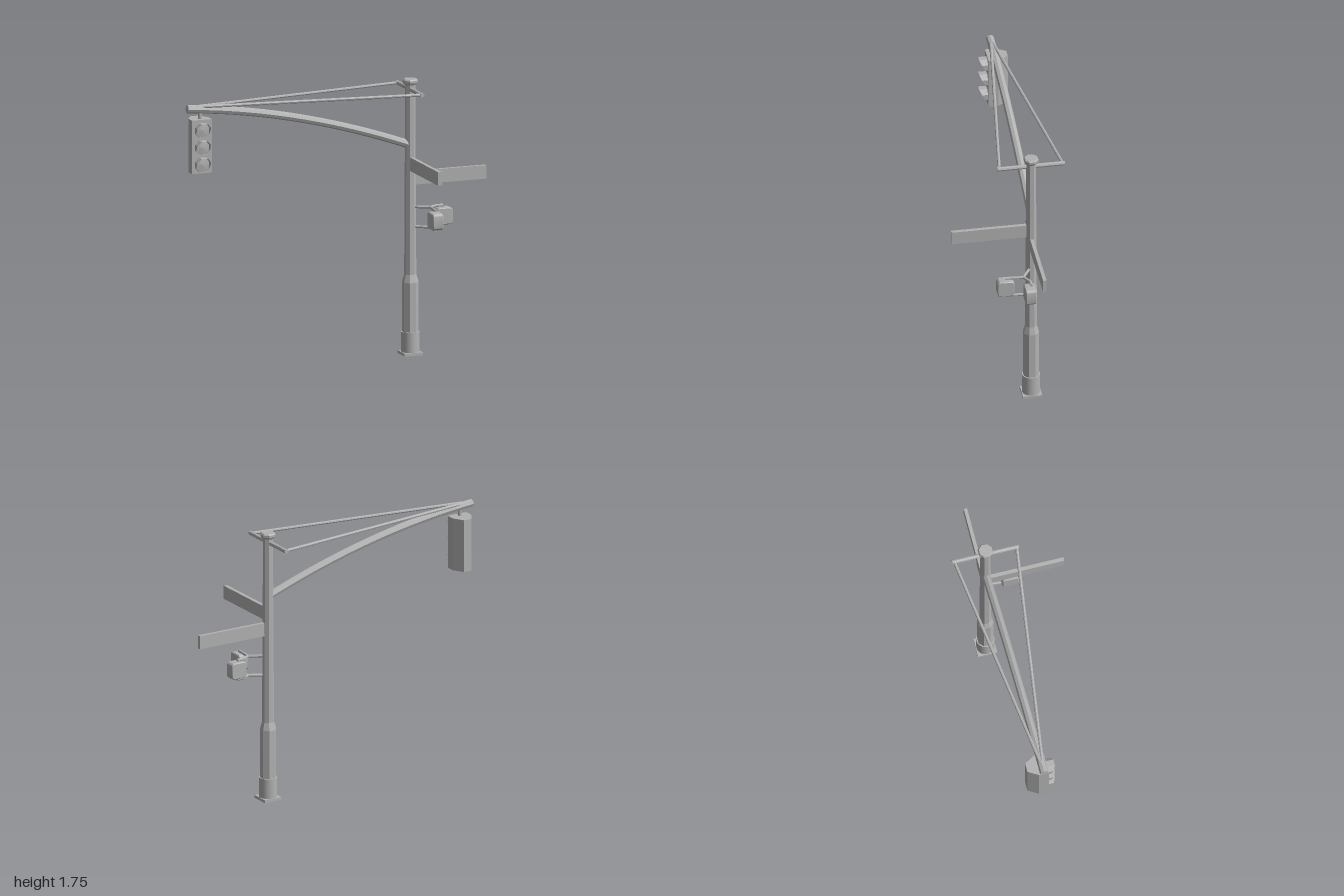
import * as THREE from 'three';
import { toCreasedNormals } from 'three/addons/utils/BufferGeometryUtils.js';

const PX = 0.495, PZ = -0.145; // pole axis
const APOTHEM = Math.cos(Math.PI / 8);
const V = (x, y, z) => new THREE.Vector3(x, y, z);

export function createModel() {
  const group = new THREE.Group();
  const grey = new THREE.MeshStandardMaterial({ color: 0xb2b2b2, side: THREE.DoubleSide });
  grey.name = 'galvanisedGrey';

  const add = (name, geo, x = 0, y = 0, z = 0, parent = group) => {
    const mesh = new THREE.Mesh(geo, grey);
    mesh.name = name;
    mesh.position.set(x, y, z);
    parent.add(mesh);
    return mesh;
  };
  const flat = (geo) => {
    const g = geo.index ? geo.toNonIndexed() : geo;
    g.computeVertexNormals();
    return g;
  };
  // Straight bar between two points
  const rod = (name, a, b, r, sides = 8) => {
    const d = b.clone().sub(a);
    const m = add(name, flat(new THREE.CylinderGeometry(r, r, d.length(), sides)));
    m.position.copy(a).add(b).multiplyScalar(0.5);
    m.quaternion.setFromUnitVectors(V(0, 1, 0), d.normalize());
    return m;
  };
  // Octagonal turned shape with flats facing the axes; profile is [half width, height]
  const octagon = (profile) => flat(new THREE.LatheGeometry(
    profile.map(([r, y]) => new THREE.Vector2(r / APOTHEM, y)), 8).rotateY(Math.PI / 8));

  // Base, pole and cap
  add('basePlate', new THREE.BoxGeometry(0.122, 0.018, 0.122), PX, 0.009, PZ);
  add('baseCollar', new THREE.CylinderGeometry(0.057, 0.057, 0.13, 32), PX, 0.081, PZ);
  add('pole', octagon([[0.048, 0.1], [0.048, 0.46], [0.035, 0.51], [0.029, 1.73]]), PX, 0, PZ);
  add('poleCap', octagon([[0, 1.715], [0.037, 1.715], [0.044, 1.728], [0.044, 1.742], [0.038, 1.75], [0, 1.75]]), PX, 0, PZ);

  // Curved mast arm with closed tip
  const curve = new THREE.QuadraticBezierCurve3(V(0.495, 1.33, PZ), V(-0.26, 1.618, PZ), V(-0.997, 1.674, PZ));
  add('mastArm', flat(new THREE.TubeGeometry(curve, 20, 0.026, 8)));
  const tip = add('mastArmTip', new THREE.CircleGeometry(0.026, 8), -0.997, 1.674, PZ);
  tip.lookAt(tip.position.clone().add(curve.getTangent(1)));

  // Crossbar and stay rods
  rod('crossbar', V(0.492, 1.686, PZ - 0.213), V(0.492, 1.686, PZ + 0.213), 0.014);
  for (const s of [-1, 1]) {
    rod('stayRod', V(0.492, 1.686, PZ + s * 0.2), V(-0.93, 1.684, PZ + s * 0.006), 0.01);
  }

  // Street sign blades
  add('sideSign', new THREE.BoxGeometry(0.48, 0.086, 0.022), 0.76, 1.12, PZ);
  add('frontSign', new THREE.BoxGeometry(0.024, 0.086, 0.485), 0.494, 1.213, 0.116);

  // Hanging traffic signal
  const signal = new THREE.Group();
  signal.name = 'trafficSignal';
  signal.position.set(-0.911, 0, 0);
  group.add(signal);
  const outline = new THREE.Shape([
    [-0.067, 0.11], [0.067, 0.11], [0.067, 0.172], [0.028, 0.238], [-0.028, 0.238], [-0.067, 0.172],
  ].map(([x, y]) => new THREE.Vector2(x, y)));
  add('signalHousing', new THREE.ExtrudeGeometry(outline, { depth: 0.34, bevelEnabled: false })
    .rotateX(-Math.PI / 2), 0, 1.266, 0, signal);
  add('signalHanger', new THREE.CylinderGeometry(0.011, 0.011, 0.07, 10), 0, 1.635, PZ, signal);
  for (const y of [1.54, 1.43, 1.321]) {
    // Visor: a short tube cut at a slant, longest at the top
    const visor = new THREE.CylinderGeometry(0.05, 0.05, 1, 8, 1, true).rotateX(Math.PI / 2).rotateZ(Math.PI / 8);
    const p = visor.attributes.position;
    for (let i = 0; i < p.count; i++) {
      p.setZ(i, p.getZ(i) > 0 ? 0.003 + 0.048 * (p.getY(i) + 0.046) / 0.092 : 0);
    }
    add('signalVisor', flat(visor), 0, y, -0.11, signal);
    add('signalLens', flat(new THREE.ConeGeometry(0.047, 0.006, 8).rotateX(Math.PI / 2)), 0, y, -0.106, signal);
  }

  // Pedestrian signal boxes with rounded corners, facing +z before turning
  const pedestrianBox = (x, z, turn) => {
    const w = 0.048, r = 0.016, s = new THREE.Shape();
    const corners = [[1, -1], [1, 1], [-1, 1], [-1, -1]];
    corners.forEach(([cx, cy], i) => s.absarc(cx * (w - r), cy * (w - r), r, (i - 1) * Math.PI / 2, i * Math.PI / 2));
    const geo = new THREE.ExtrudeGeometry(s, {
      depth: 0.058, bevelSize: 0.005, bevelThickness: 0.005, bevelSegments: 1, curveSegments: 4,
    }).translate(0, 0, -0.029);
    add('pedestrianSignal', toCreasedNormals(geo, 0.6), x, 0.874, z).rotation.y = turn;
  };
  pedestrianBox(0.592, 0.034, Math.PI / 2);
  pedestrianBox(0.699, -0.104, 0);

  // Forked brackets above and below the boxes
  for (const y of [0.938, 0.812]) {
    const fork = V(0.602, y, -0.078);
    rod('bracketStem', V(0.5, y, -0.14), fork, 0.009);
    rod('bracketFrontArm', fork, V(0.594, y, 0.036), 0.009);
    rod('bracketSideArm', fork, V(0.66, y, -0.115), 0.009);
    rod('bracketSideEnd', V(0.655, y, -0.112), V(0.7, y, -0.112), 0.009);
  }
  return group;
}
